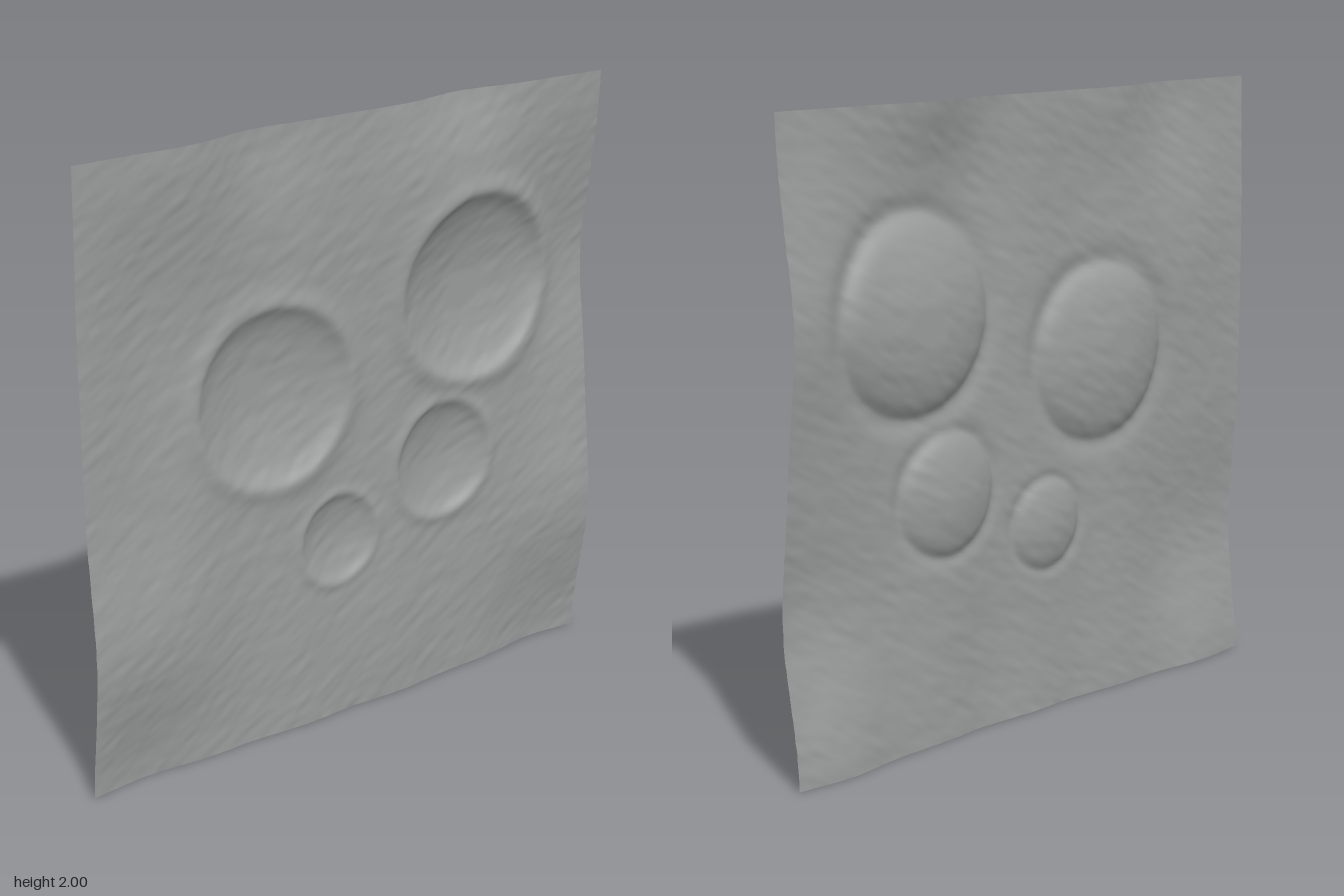
import * as THREE from 'three';

const smooth = t => t * t * (3 - 2 * t);

// Seeded value noise in the range -1..1
function hash(i, j) {
  const s = Math.sin(i * 127.1 + j * 311.7) * 43758.5453;
  return 2 * (s - Math.floor(s)) - 1;
}
function noise(x, y) {
  const i = Math.floor(x), j = Math.floor(y);
  const u = smooth(x - i), v = smooth(y - j);
  const a = hash(i, j) + (hash(i + 1, j) - hash(i, j)) * u;
  const b = hash(i, j + 1) + (hash(i + 1, j + 1) - hash(i, j + 1)) * u;
  return a + (b - a) * v;
}

// Broad hills and hollows: x, y, radius, height
const swells = [
  [-0.85, 0.46, 0.3, 0.045], [0.95, 0.5, 0.28, 0.04], [0.36, 1.72, 0.26, 0.034],
  [1.0, 1.36, 0.28, -0.045], [-0.6, 1.42, 0.3, -0.02], [-0.8, -0.02, 0.28, -0.025],
  [0.85, -0.02, 0.3, -0.035], [-0.7, 1.95, 0.25, 0.025], [0.9, 2.0, 0.26, 0.025],
  [0.1, 0.25, 0.3, 0.012], [-0.3, 2.0, 0.2, -0.025], [0.45, 2.05, 0.2, -0.035],
];

// Craters: x, y, radius, depth
const craters = [
  [-0.3, 1.15, 0.29, 0.05], [0.5, 1.36, 0.31, 0.058],
  [0.37, 0.79, 0.195, 0.036], [-0.06, 0.62, 0.15, 0.027],
];

function relief(x, y) {
  let z = 0.0045 * Math.sin((x + 0.3 + 0.03 * Math.sin(3 * y)) * 15.7);
  for (const [cx, cy, r, h] of swells) {
    z += h * Math.exp(-((x - cx) ** 2 + (y - cy) ** 2) / (r * r));
  }
  // Bowl with a low raised rim
  for (const [cx, cy, r, depth] of craters) {
    const d = Math.hypot(x - cx, y - cy) / r;
    if (d < 1) z -= depth * (1 - d * d) ** 0.9;
    z += depth * 0.22 * Math.exp(-(((d - 1.04) / 0.13) ** 2));
  }
  // Fine diagonal grain
  const along = x * 0.87 + y * 0.5, across = y * 0.87 - x * 0.5;
  z += 0.0016 * noise(along * 14, across * 38) + 0.0007 * noise(along * 30 + 9, across * 70);
  return THREE.MathUtils.clamp(z, -0.055, 0.055);
}

export function createModel() {
  const group = new THREE.Group();
  group.name = 'crateredPanel';
  const stone = new THREE.MeshStandardMaterial({ color: 0x999b9a, side: THREE.DoubleSide });
  stone.name = 'stone grey';

  // Thin upright sheet displaced into terrain
  const geometry = new THREE.PlaneGeometry(2, 2, 180, 180).translate(0, 1, 0);
  const p = geometry.attributes.position;
  for (let i = 0; i < p.count; i++) p.setZ(i, relief(p.getX(i), p.getY(i)));
  geometry.computeVertexNormals();

  const terrain = new THREE.Mesh(geometry, stone);
  terrain.name = 'terrainSheet';
  group.add(terrain);
  return group;
}
